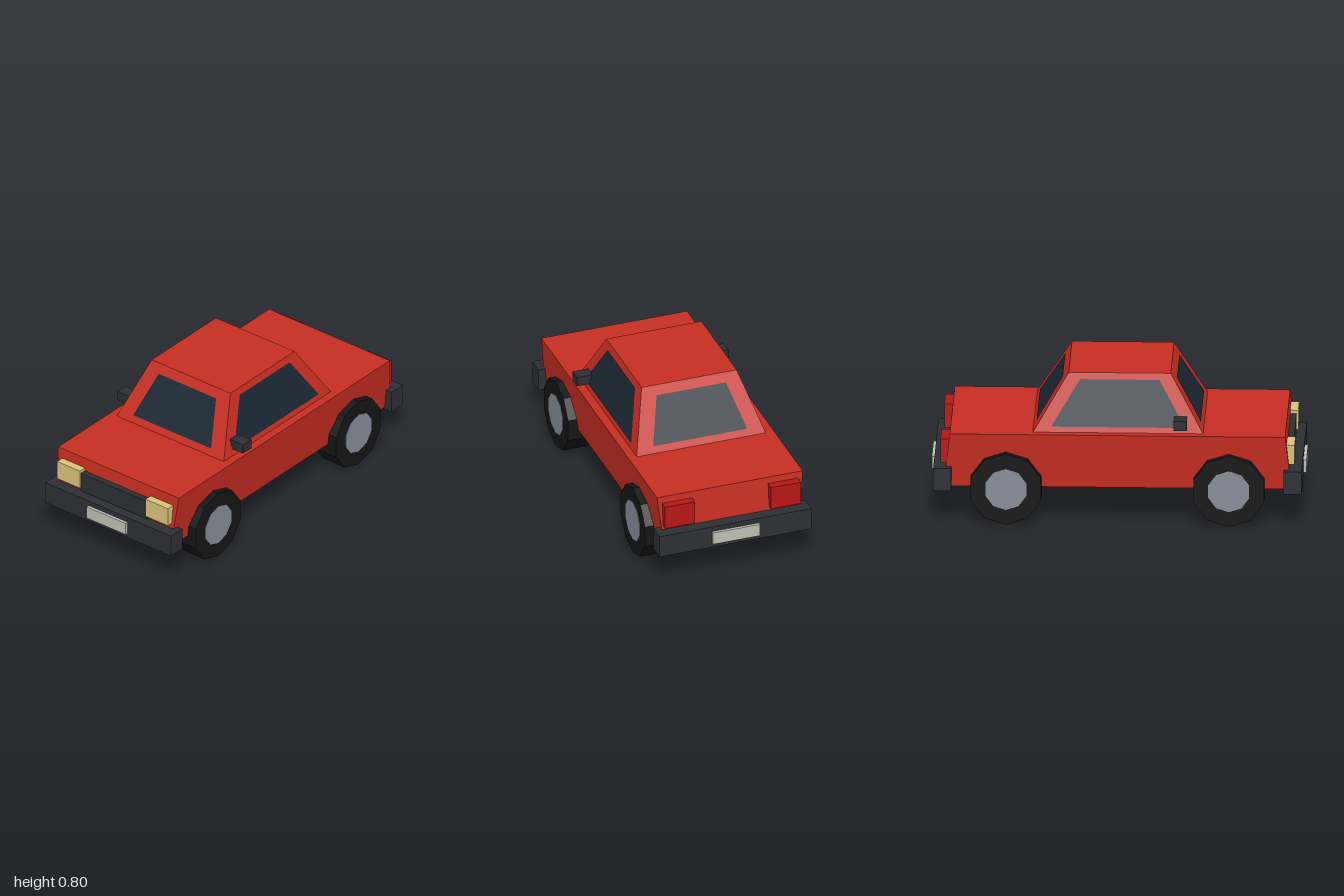
import * as THREE from 'three';

const mat = (color) => new THREE.MeshStandardMaterial({ color, flatShading: true });

export function createModel() {
  const car = new THREE.Group();
  car.name = 'car';
  const paint = mat(0xc62d22), trim = mat(0x2e2f33), tyreMat = mat(0x151515), hubMat = mat(0x868c98);
  const lamp = mat(0xd9c27a), tailRed = mat(0xb81616), plateMat = mat(0xbfbfb3);
  const glass = mat(0x1b2733);
  glass.side = THREE.DoubleSide;

  const add = (name, geometry, material) => {
    const mesh = new THREE.Mesh(geometry, material);
    mesh.name = name;
    car.add(mesh);
    return mesh;
  };

  // Box given by its limits on each axis
  const box = (name, material, [x0, x1], [y0, y1], [z0, z1]) => {
    const mesh = add(name, new THREE.BoxGeometry(Math.abs(x1 - x0), y1 - y0, Math.abs(z1 - z0)), material);
    mesh.position.set((x0 + x1) / 2, (y0 + y1) / 2, (z0 + z1) / 2);
    return mesh;
  };

  // Tapered block: bottom and top each have y, half width, back z and front z
  const block = (name, material, bottom, top) => {
    const g = new THREE.BoxGeometry(2, 2, 2);
    const p = g.attributes.position;
    for (let i = 0; i < p.count; i++) {
      const end = p.getY(i) < 0 ? bottom : top;
      p.setXYZ(i, p.getX(i) * end.w, end.y, p.getZ(i) < 0 ? end.back : end.front);
    }
    g.computeVertexNormals();
    return add(name, g, material);
  };

  // Lower body and cabin
  block('body', paint,
    { y: 0.197, w: 0.385, back: -0.93, front: 0.93 },
    { y: 0.497, w: 0.414, back: -0.895, front: 0.895 });
  const sill = { y: 0.497, w: 0.367, back: -0.453, front: 0.456 };
  const roof = { y: 0.803, w: 0.27, back: -0.265, front: 0.28 };
  block('cabin', paint, sill, roof);

  // Flat window pane from four corners, counter-clockwise from outside
  const pane = (name, corners) => {
    const g = new THREE.BufferGeometry();
    g.setAttribute('position', new THREE.Float32BufferAttribute(corners.flat(), 3));
    g.setIndex([0, 1, 2, 0, 2, 3]);
    g.computeVertexNormals();
    add(name, g, glass);
  };
  // Cabin wall position at height y, set slightly outward
  const wall = (key, y) => {
    const v = THREE.MathUtils.lerp(sill[key], roof[key], (y - sill.y) / (roof.y - sill.y));
    return v + Math.sign(v) * 0.005;
  };

  for (const [name, key, s] of [['windshield', 'front', 1], ['rearWindow', 'back', -1]]) {
    const lo = 0.533, hi = 0.758;
    pane(name, [
      [-0.267 * s, lo, wall(key, lo)], [0.267 * s, lo, wall(key, lo)],
      [0.197 * s, hi, wall(key, hi)], [-0.197 * s, hi, wall(key, hi)],
    ]);
  }

  for (const s of [1, -1]) {
    const side = s > 0 ? 'left' : 'right';
    // Side window
    const lo = 0.527, hi = 0.77;
    const corners = [
      [s * wall('w', lo), lo, 0.36], [s * wall('w', lo), lo, -0.355],
      [s * wall('w', hi), hi, -0.204], [s * wall('w', hi), hi, 0.22],
    ];
    pane(side + 'Window', s > 0 ? corners : corners.reverse());

    // Mirror and lights
    box(side + 'Mirror', trim, [s * 0.335, s * 0.43], [0.531, 0.584], [0.3, 0.37]);
    box(side + 'Headlight', lamp, [s * 0.225, s * 0.38], [0.335, 0.442], [0.88, 0.945]);
    box(side + 'TailLight', tailRed, [s * 0.216, s * 0.386], [0.328, 0.46], [-0.945, -0.88]);

    // Ten-sided wheels with hubs
    for (const [end, z] of [['Front', 0.595], ['Rear', -0.595]]) {
      const wheel = new THREE.Group();
      wheel.name = side + end + 'Wheel';
      for (const [name, r, width, m] of [['tyre', 0.198, 0.142, tyreMat], ['hub', 0.115, 0.146, hubMat]]) {
        const mesh = new THREE.Mesh(new THREE.CylinderGeometry(r, r, width, 10).rotateZ(Math.PI / 2).rotateX(Math.PI / 2), m);
        // Turn a corner of the polygon to the ground
        mesh.geometry.computeBoundingBox();
        if (mesh.geometry.boundingBox.max.y < r * 0.99) mesh.geometry.rotateX(Math.PI / 10);
        mesh.name = name;
        wheel.add(mesh);
      }
      wheel.position.set(s * 0.37, 0.198, z);
      car.add(wheel);
    }
  }

  // Grille, bumpers and number plates
  box('grille', trim, [-0.228, 0.228], [0.315, 0.425], [0.87, 0.936]);
  for (const [end, s] of [['front', 1], ['rear', -1]]) {
    box(end + 'Bumper', trim, [-0.432, 0.432], [0.183, 0.308], [s * 0.887, s * 0.983]);
    box(end + 'Plate', plateMat, [-0.134, 0.134], [0.21, 0.28], [s * 0.97, s]);
  }
  return car;
}
